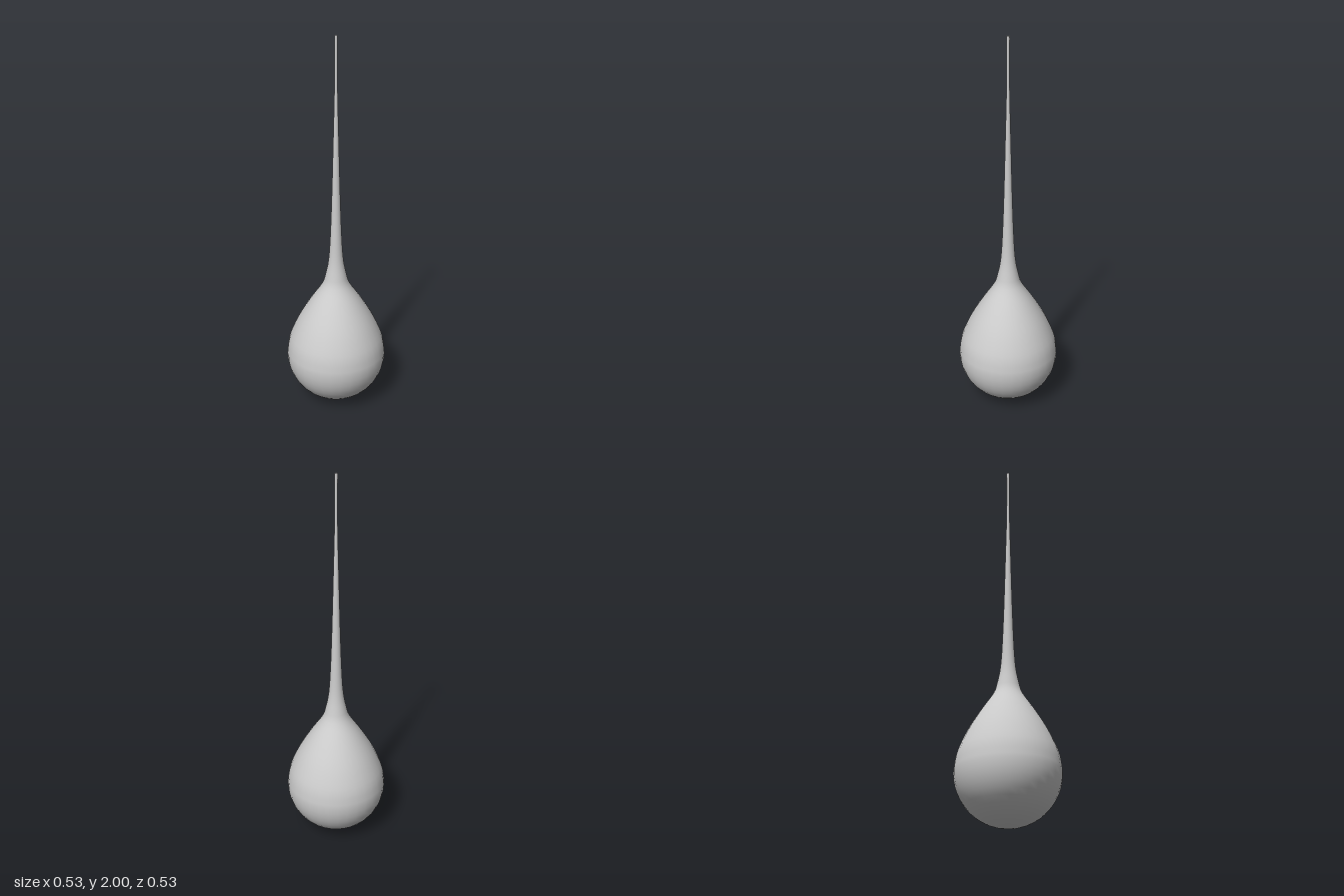
import * as THREE from 'three';

export function createModel() {
  const group = new THREE.Group();
  const material = new THREE.MeshStandardMaterial({ color: 0xcccccc });
  const R = 0.265, sides = 32, tipRadius = 0.008;

  // Rounded bottom: a quarter circle up to the widest ring
  const profile = [];
  for (let i = 0; i <= 12; i++) {
    const a = (i / 12) * Math.PI / 2;
    profile.push(new THREE.Vector2(R * Math.sin(a), R - R * Math.cos(a)));
  }

  // Shoulder, neck and long thin stem
  const upper = new THREE.SplineCurve([
    [R, 0.265], [0.254, 0.345], [0.223, 0.427], [0.185, 0.502], [0.132, 0.588],
    [0.074, 0.675], [0.055, 0.735], [0.039, 0.82], [0.03, 0.95], [0.022, 1.17],
    [0.014, 1.48], [tipRadius, 1.75], [tipRadius, 2],
  ].map(([r, y]) => new THREE.Vector2(r, y)));
  profile.push(...upper.getPoints(36).slice(1));

  const drop = new THREE.Mesh(new THREE.LatheGeometry(profile, sides), material);
  drop.name = 'dropBody';
  group.add(drop);

  // Flat end of the stem
  const cap = new THREE.Mesh(new THREE.CircleGeometry(tipRadius, sides), material);
  cap.name = 'stemCap';
  cap.rotation.x = -Math.PI / 2;
  cap.position.y = 2;
  group.add(cap);

  return group;
}
